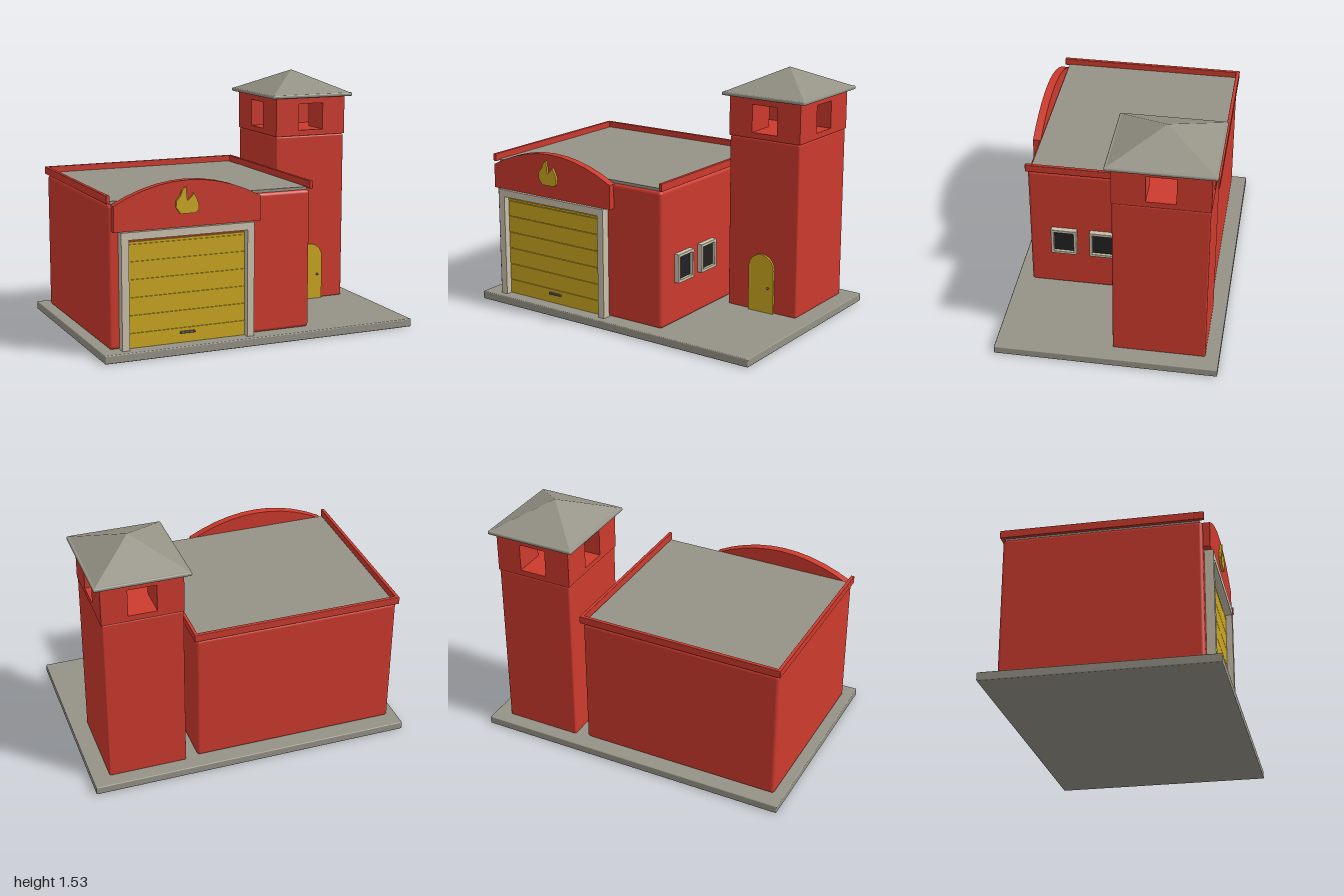
import * as THREE from 'three';
import { RoundedBoxGeometry } from 'three/addons/geometries/RoundedBoxGeometry.js';

const paint = (name, color) => Object.assign(new THREE.MeshStandardMaterial({ color }), { name });

export function createModel() {
  const red = paint('brick red', 0xcc3a2d);
  const grey = paint('concrete grey', 0x959286);
  const yellow = paint('door yellow', 0xc9a620);
  const cream = paint('trim cream', 0xcac1ac);
  const dark = paint('window dark', 0x222222);
  const metal = paint('handle metal', 0x5a5c5e);

  const model = new THREE.Group();
  model.name = 'fireStation';

  const add = (name, geometry, material) => {
    const mesh = new THREE.Mesh(geometry, material);
    mesh.name = name;
    model.add(mesh);
    return mesh;
  };
  // Box given by its limits on each axis, with an optional edge radius
  const box = (name, material, [x0, x1], [y0, y1], [z0, z1], r = 0) => {
    const size = [x1 - x0, y1 - y0, z1 - z0];
    const geo = r ? new RoundedBoxGeometry(...size, 3, r) : new THREE.BoxGeometry(...size);
    geo.translate((x0 + x1) / 2, (y0 + y1) / 2, (z0 + z1) / 2);
    return add(name, geo, material);
  };
  // Outline in the xy plane extruded from z0 to z1
  const plate = (name, material, shape, z0, z1) => {
    const geo = new THREE.ExtrudeGeometry(shape, { depth: z1 - z0, bevelEnabled: false, curveSegments: 10 });
    return add(name, geo.translate(0, 0, z0), material);
  };
  const outline = (points) => new THREE.Shape(points.map(([x, y]) => new THREE.Vector2(x, y)));

  // Ground slab and garage body
  box('groundSlab', grey, [-1, 1], [0, 0.05], [-0.678, 0.678], 0.006);
  box('garageBody', red, [-0.94, 0.335], [0.05, 0.893], [-0.58, 0.58], 0.02);
  box('garageRoof', grey, [-0.925, 0.32], [0.88, 0.91], [-0.57, 0.562]);

  // Parapet on both sides and the back
  box('parapetLeft', red, [0.327, 0.348], [0.9, 0.947], [-0.595, 0.592], 0.003);
  box('parapetRight', red, [-0.952, -0.93], [0.9, 0.947], [-0.595, 0.592], 0.003);
  box('parapetBack', red, [-0.94, 0.337], [0.9, 0.947], [-0.595, -0.572], 0.003);

  // Arched gable above the garage door
  const gable = [[-0.92, 0.74], [-0.01, 0.74]];
  for (let i = 0; i <= 10; i++) {
    const t = 1 - i / 5;
    gable.push([-0.465 + 0.455 * t, 1.012 - 0.122 * t * t]);
  }
  plate('gable', red, outline(gable), 0.57, 0.62);

  // Flame emblem
  plate('flame', yellow, outline([
    [-0.52, 0.82], [-0.43, 0.82], [-0.408, 0.835], [-0.406, 0.868], [-0.42, 0.905], [-0.437, 0.935],
    [-0.452, 0.915], [-0.478, 0.893], [-0.482, 0.925], [-0.485, 0.975], [-0.508, 0.958],
    [-0.52, 0.925], [-0.545, 0.895], [-0.548, 0.86],
  ]), 0.618, 0.634);

  // Garage door frame
  plate('garageDoorFrame', cream, outline([
    [-0.88, 0.05], [-0.835, 0.05], [-0.835, 0.692], [-0.098, 0.692],
    [-0.098, 0.05], [-0.055, 0.05], [-0.055, 0.737], [-0.88, 0.737],
  ]), 0.575, 0.632);

  // Garage door: backing and slats with thin grooves
  box('garageDoorBacking', yellow, [-0.833, -0.1], [0.05, 0.672], [0.575, 0.587]);
  const seams = [0.05, 0.14, 0.245, 0.35, 0.455, 0.56, 0.66, 0.676];
  for (let i = 0; i < seams.length - 1; i++) {
    box('garageDoorSlat', yellow, [-0.833, -0.1], [seams[i] + 0.0015, seams[i + 1] - 0.0015], [0.58, 0.594]);
  }
  box('garageDoorHandle', metal, [-0.512, -0.42], [0.106, 0.119], [0.592, 0.606], 0.003);

  // Side windows
  for (const z of [0.363, 0.12]) {
    const w = 0.081, h = 0.09, y = 0.395, b = 0.019;
    box('windowGlass', dark, [0.33, 0.35], [y - h + b, y + h - b], [z - w + b, z + w - b]);
    for (const s of [-1, 1]) {
      const ys = [y + s * h, y + s * (h - b)].sort((p, q) => p - q);
      const zs = [z + s * w, z + s * (w - b)].sort((p, q) => p - q);
      box('windowRail', cream, [0.33, 0.368], ys, [z - w, z + w], 0.004);
      box('windowStile', cream, [0.33, 0.368], [y - h, y + h], zs, 0.004);
    }
  }

  // Tower shaft
  const tx = [0.408, 0.898], tz = [-0.597, -0.03];
  box('towerShaft', red, [0.411, 0.895], [0.05, 1.129], [-0.594, -0.033], 0.01);

  // Lookout: floor and lintel slabs joined by four corner piers
  const ox = [0.568, 0.74], oz = [-0.4, -0.226];
  box('lookoutFloor', red, tx, [1.131, 1.166], tz);
  box('lookoutLintel', red, tx, [1.336, 1.38], tz);
  for (const x of [[tx[0], ox[0]], [ox[1], tx[1]]]) {
    for (const z of [[tz[0], oz[0]], [oz[1], tz[1]]]) box('lookoutPier', red, x, [1.166, 1.336], z);
  }

  // Tower roof: eaves and pyramid
  box('towerEaves', grey, [0.368, 0.94], [1.375, 1.398], [-0.63, 0.002], 0.009);
  const pyramid = new THREE.ConeGeometry(Math.SQRT1_2, 0.137, 4, 1, false, Math.PI / 4).toNonIndexed();
  pyramid.scale(0.558, 1, 0.618).translate(0.654, 1.4635, -0.314);
  pyramid.computeVertexNormals();
  add('towerRoof', pyramid, grey);

  // Arched tower door with knob
  const door = new THREE.Shape();
  door.moveTo(0.565, 0.05).lineTo(0.741, 0.05).lineTo(0.741, 0.329);
  door.absarc(0.653, 0.329, 0.088, 0, Math.PI, false);
  door.closePath();
  plate('towerDoor', yellow, door, -0.04, -0.019);
  add('towerDoorKnob', new THREE.SphereGeometry(0.008, 12, 8).translate(0.706, 0.212, -0.014), metal);

  return model;
}
